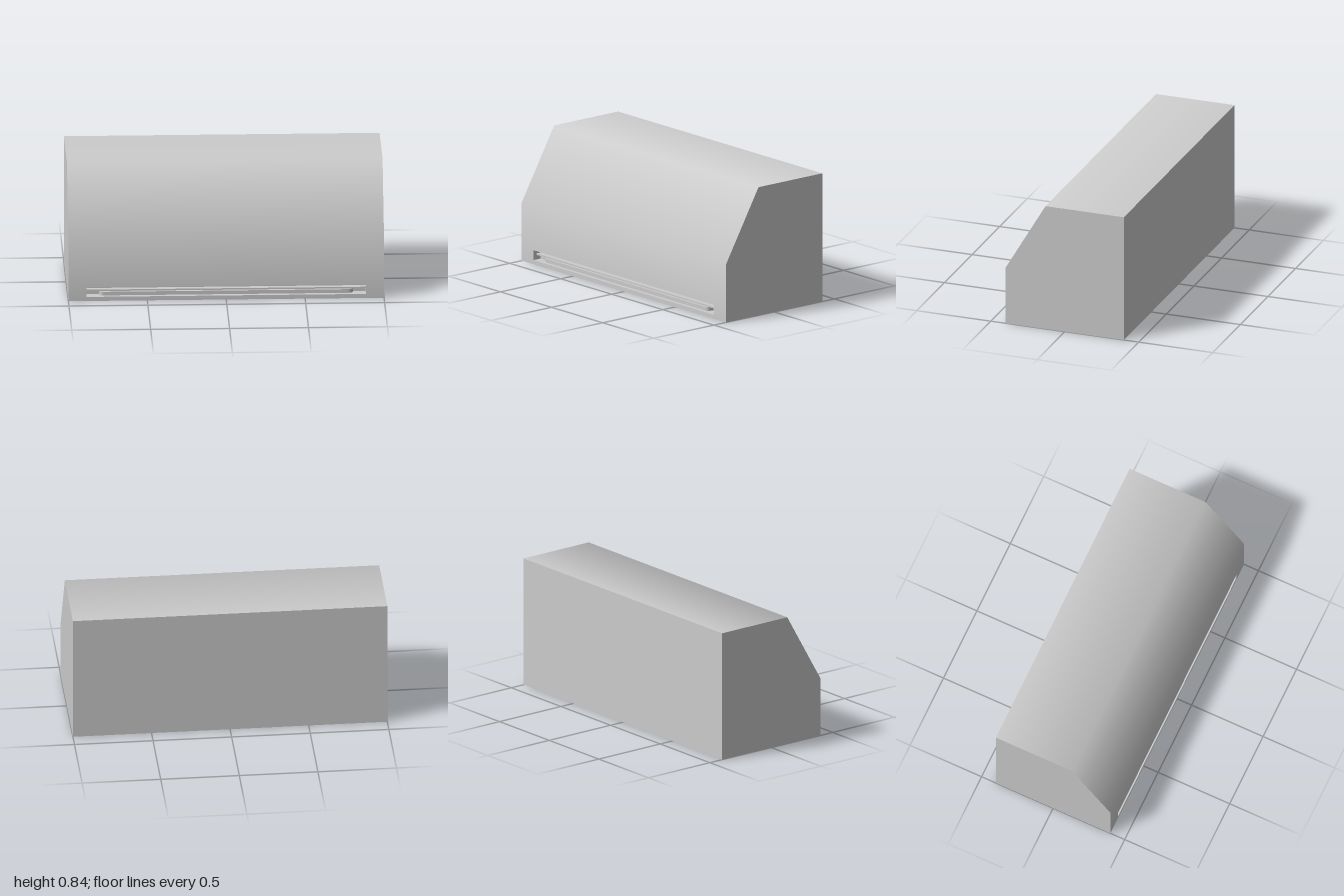
import * as THREE from 'three';
import { mergeGeometries } from 'three/addons/utils/BufferGeometryUtils.js';

const SLOT = { x: 0.885, y0: 0.027, y1: 0.092, depth: 0.06 };
const FRONT = 0.4, BACK = -0.4, TOP = 0.84;

// Quad strip across x between two section points [z, y, normal angle from +z towards +y]
function strip(x0, x1, a, b) {
  const pos = [], nor = [];
  for (const [x, p] of [[x0, a], [x1, a], [x1, b], [x0, b]]) {
    pos.push(x, p[1], p[0]);
    nor.push(0, Math.sin(p[2]), Math.cos(p[2]));
  }
  const g = new THREE.BufferGeometry();
  g.setAttribute('position', new THREE.Float32BufferAttribute(pos, 3));
  g.setAttribute('normal', new THREE.Float32BufferAttribute(nor, 3));
  g.setIndex([0, 1, 2, 0, 2, 3]);
  return g;
}

export function createModel() {
  const group = new THREE.Group();
  const material = new THREE.MeshStandardMaterial({ color: 0xcccccc, side: THREE.DoubleSide });
  const add = (name, geometry) => {
    const mesh = new THREE.Mesh(geometry, material);
    mesh.name = name;
    group.add(mesh);
    return mesh;
  };

  // Front, slope and top as one smoothly shaded skin, leaving the outlet open
  const section = [
    [FRONT, 0, 0], [FRONT, SLOT.y0, 0.02], [FRONT, SLOT.y1, 0.06],
    [FRONT, 0.38, 0.265], [0.13, TOP, 1.05], [BACK, TOP, Math.PI / 2],
  ];
  const xs = [-1, -SLOT.x, SLOT.x, 1];
  const skin = [];
  for (let i = 0; i < section.length - 1; i++) {
    for (let j = 0; j < 3; j++) {
      if (i === 1 && j === 1) continue;
      skin.push(strip(xs[j], xs[j + 1], section[i], section[i + 1]));
    }
  }
  add('casingShell', mergeGeometries(skin));

  // Flat end panels
  for (const side of [-1, 1]) {
    const outline = [[FRONT, 0], [FRONT, 0.38], [0.13, TOP], [BACK, TOP], [BACK, 0]];
    const shape = new THREE.Shape(outline.map(([z, y]) => new THREE.Vector2(-side * z, y)));
    const end = add(side > 0 ? 'leftPanel' : 'rightPanel', new THREE.ShapeGeometry(shape));
    end.rotation.y = side * Math.PI / 2;
    end.position.x = side;
  }

  // Back and base
  const back = add('backPanel', new THREE.PlaneGeometry(2, TOP));
  back.rotation.y = Math.PI;
  back.position.set(0, TOP / 2, BACK);
  const base = add('basePanel', new THREE.PlaneGeometry(2, FRONT - BACK));
  base.rotation.x = Math.PI / 2;

  // Recess behind the outlet: ceiling, rear wall, floor and two ends
  const inner = FRONT - SLOT.depth, h = SLOT.y1 - SLOT.y0, mid = (SLOT.y0 + SLOT.y1) / 2;
  const wall = (z0, y0, z1, y1, angle) =>
    strip(-SLOT.x, SLOT.x, [z0, y0, angle], [z1, y1, angle]);
  add('outletRecess', mergeGeometries([
    wall(inner, SLOT.y1, FRONT, SLOT.y1, -Math.PI / 2),
    wall(inner, SLOT.y0, inner, SLOT.y1, 0),
    wall(FRONT, SLOT.y0, inner, SLOT.y0, Math.PI / 2),
  ]));
  for (const side of [-1, 1]) {
    const cheek = add('outletEnd', new THREE.PlaneGeometry(SLOT.depth, h));
    cheek.rotation.y = -side * Math.PI / 2;
    cheek.position.set(side * SLOT.x, mid, FRONT - SLOT.depth / 2);
  }

  // Horizontal slat across the outlet
  const slat = add('outletSlat', new THREE.BoxGeometry(2 * SLOT.x, 0.01, 0.035));
  slat.position.set(0, 0.062, inner + 0.0175);

  // Air vane below the slat, with rounded front corners
  const vaneShape = new THREE.Shape();
  const w = 0.805, d = 0.045, r = 0.035;
  vaneShape.moveTo(-w, 0);
  vaneShape.lineTo(w, 0);
  vaneShape.lineTo(w, -d + r);
  vaneShape.quadraticCurveTo(w, -d, w - r, -d);
  vaneShape.lineTo(-w + r, -d);
  vaneShape.quadraticCurveTo(-w, -d, -w, -d + r);
  vaneShape.closePath();
  const vane = add('airVane', new THREE.ExtrudeGeometry(vaneShape, { depth: 0.024, bevelEnabled: false }));
  vane.rotation.x = -Math.PI / 2;
  vane.position.set(0, 0.031, inner);

  return group;
}
